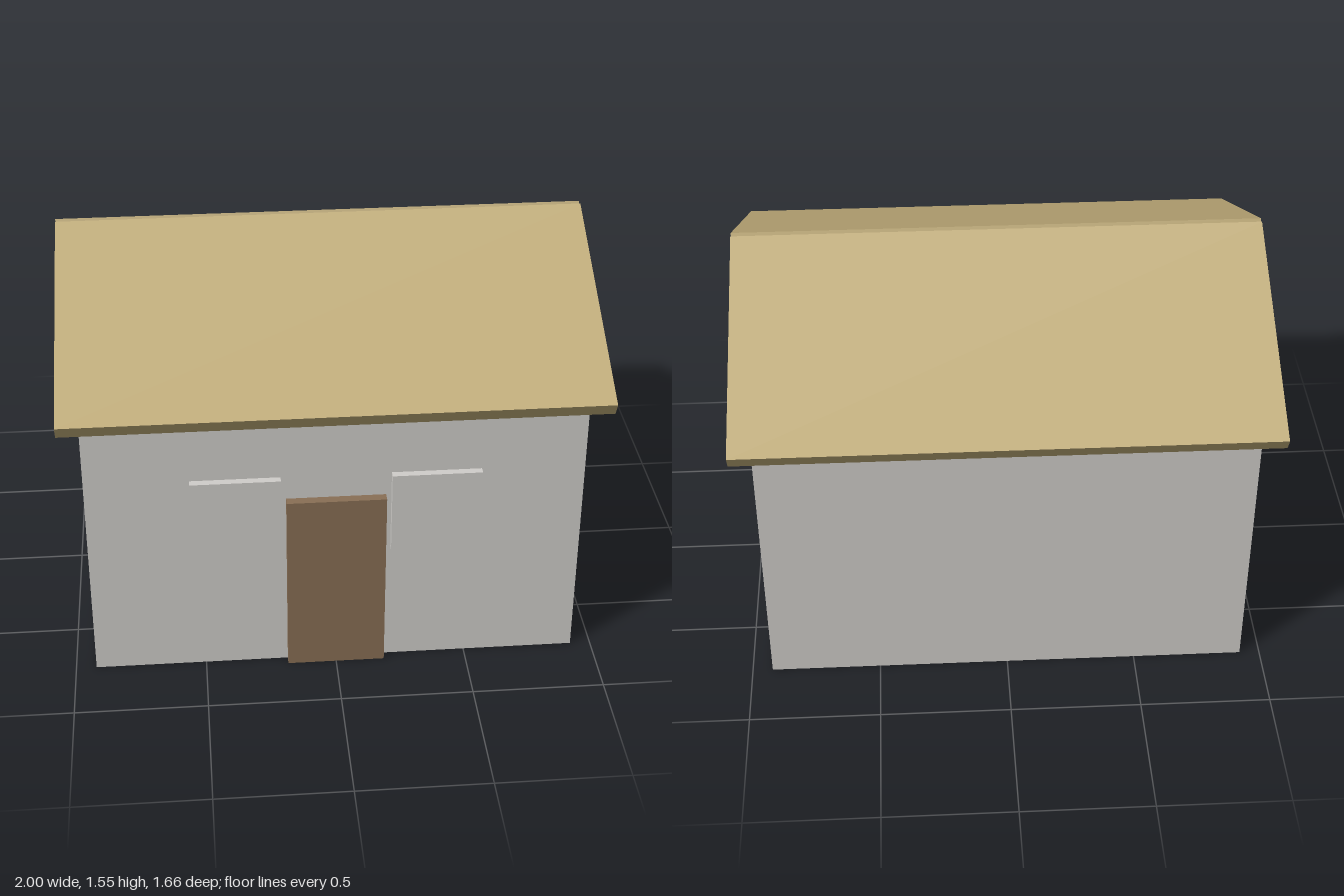
import * as THREE from 'three';

export function createModel() {
  const house = new THREE.Group();
  house.name = 'house';

  const material = (name, color) => {
    const m = new THREE.MeshStandardMaterial({ color });
    m.name = name;
    return m;
  };
  const plaster = material('plaster', 0xd0ceca);
  const thatch = material('thatch', 0xc0ac79);
  const wood = material('wood', 0x896f55);

  const add = (name, geometry, mat, x = 0, y = 0, z = 0) => {
    const mesh = new THREE.Mesh(geometry, mat);
    mesh.name = name;
    mesh.position.set(x, y, z);
    house.add(mesh);
    return mesh;
  };

  // Walls
  const wallHeight = 1.115, halfDepth = 0.74;
  add('walls', new THREE.BoxGeometry(1.845, wallHeight, halfDepth * 2), plaster, 0, wallHeight / 2, 0);

  // Triangular attic, slightly wider than the walls
  const atticLength = 1.89;
  const gable = new THREE.Shape([
    new THREE.Vector2(-halfDepth, wallHeight),
    new THREE.Vector2(halfDepth, wallHeight),
    new THREE.Vector2(0, 1.488),
  ]);
  const attic = new THREE.ExtrudeGeometry(gable, { depth: atticLength, bevelEnabled: false });
  attic.translate(0, 0, -atticLength / 2).rotateY(Math.PI / 2);
  add('attic', attic, plaster);

  // Two roof slabs, defined by the outer ridge and eave corners of their section
  const ridge = new THREE.Vector2(0.012, 1.55), eave = new THREE.Vector2(0.83, 1.141);
  const thickness = 0.057;
  const along = eave.clone().sub(ridge);
  const slope = Math.atan2(-along.y, along.x);
  const centre = ridge.clone().add(eave).multiplyScalar(0.5)
    .sub(new THREE.Vector2(Math.sin(slope), Math.cos(slope)).multiplyScalar(thickness / 2));
  for (const side of [1, -1]) {
    const slab = add(side > 0 ? 'frontRoof' : 'backRoof',
      new THREE.BoxGeometry(2, thickness, along.length()), thatch, 0, centre.y, side * centre.x);
    slab.rotation.x = side * slope;
  }

  // Door and the two closed shutters beside it
  add('door', new THREE.BoxGeometry(0.37, 0.743, 0.035), wood, 0, 0.3715, halfDepth + 0.0175);
  for (const side of [1, -1]) {
    add(side > 0 ? 'leftShutter' : 'rightShutter',
      new THREE.BoxGeometry(0.333, 0.333, 0.028), plaster, side * 0.371, 0.672, halfDepth + 0.014);
  }

  return house;
}
